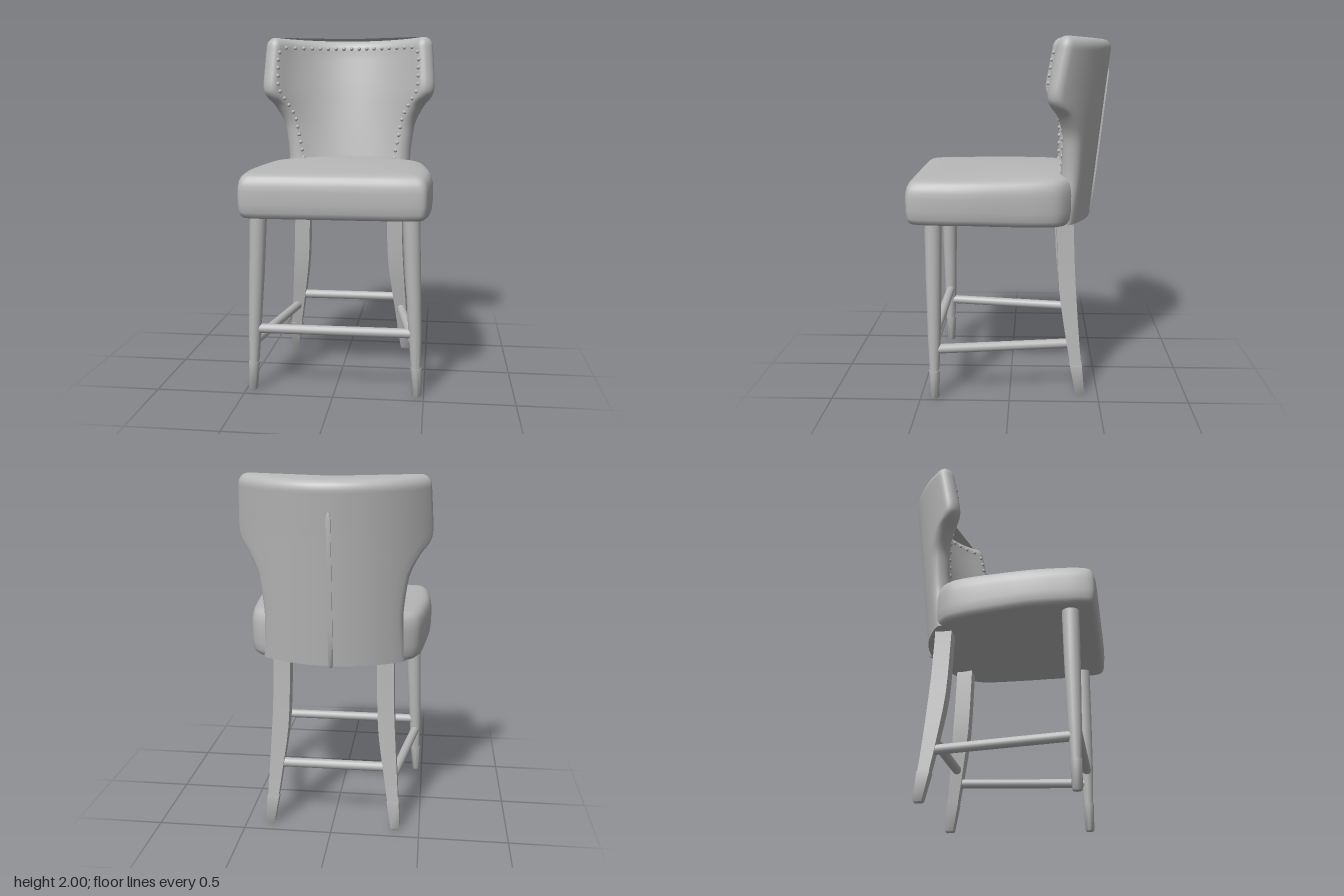
import * as THREE from 'three';
import { toCreasedNormals } from 'three/addons/utils/BufferGeometryUtils.js';

const grey = new THREE.MeshStandardMaterial({ color: 0xb8b8b8 });
grey.name = 'plainGrey';
const V = (x, y, z) => new THREE.Vector3(x, y, z);
const clamp = THREE.MathUtils.clamp;

function mesh(geometry, name) {
  const m = new THREE.Mesh(geometry, grey);
  m.name = name;
  return m;
}

// Skin closed rings stacked bottom to top, with both ends capped
function loft(rings, crease = 0.7) {
  const n = rings[0].length, pos = [], idx = [];
  rings.forEach(r => r.forEach(p => pos.push(p.x, p.y, p.z)));
  for (let i = 0; i < rings.length - 1; i++) {
    for (let j = 0; j < n; j++) {
      const a = i * n + j, b = i * n + (j + 1) % n;
      idx.push(a, b, b + n, a, b + n, a + n);
    }
  }
  [0, rings.length - 1].forEach((i, top) => {
    const c = V(0, 0, 0);
    rings[i].forEach(p => c.addScaledVector(p, 1 / n));
    const k = pos.length / 3;
    pos.push(c.x, c.y, c.z);
    for (let j = 0; j < n; j++) {
      const a = i * n + j, b = i * n + (j + 1) % n;
      if (top) idx.push(k, a, b); else idx.push(k, b, a);
    }
  });
  const g = new THREE.BufferGeometry();
  g.setAttribute('position', new THREE.Float32BufferAttribute(pos, 3));
  g.setIndex(idx);
  return toCreasedNormals(g, crease);
}

// Seat cushion: plan outline stacked with rounded edges and a crowned top
function seat() {
  const half = [[0, .565], [.25, .565], [.44, .562], [.495, .55], [.515, .5], [.53, .35], [.532, .2],
    [.515, 0], [.487, -.2], [.455, -.28], [.36, -.35], [.2, -.42], [0, -.45]];
  const all = half.concat(half.slice(1, -1).reverse().map(([x, z]) => [-x, z]));
  const plan = new THREE.CatmullRomCurve3(all.map(([x, z]) => V(x, 0, z)), true, 'centripetal')
    .getPoints(96).slice(0, -1);
  // [height, scale]
  const levels = [[1, .5], [1, .93], [1.004, .955], [1.015, .978], [1.035, .992], [1.08, 1], [1.15, 1],
    [1.18, .995], [1.205, .982], [1.222, .963], [1.234, .935], [1.241, .89], [1.246, .8], [1.25, .65], [1.253, .45], [1.255, .2]];
  return loft(levels.map(([y, s]) => plan.map(p => {
    const x = p.x * s, z = .06 + (p.z - .06) * s;
    const sag = y < 1.1 ? -.02 * clamp((.2 - z) / .5, 0, 1) : 0;
    const rise = y > 1.2 ? .018 * clamp((.5 - z) / .6, 0, 1) * (1 - (x / .55) ** 2) : 0;
    return V(x, y + sag + rise, z);
  })), 1);
}

// Backrest: a curved, leaning shell described by arc distance u and depth v
const RM = .605, T = .055, C = .048;
const centreZ = y => .09 + .11 * (2 - y);
const arcHalf = hw => RM * Math.asin(hw / .632);
const bulge = (y, u, L) => .045 * clamp((1.9 - y) / .65, 0, 1) * Math.max(0, 1 - (u / L) ** 2);
const outline = new THREE.SplineCurve([[.4, .985], [.39, 1.12], [.385, 1.25], [.4, 1.4], [.42, 1.49], [.465, 1.58],
  [.51, 1.64], [.525, 1.7], [.52, 1.82], [.512, 1.95]].map(p => new THREE.Vector2(...p)));

function backRing(hw, y, inset) {
  const L = arcHalf(hw) - inset, t = T - inset, c = Math.max(.004, C - inset), pts = [];
  const arc = (su, sv, a0) => {
    for (let i = 0; i <= 5; i++) {
      const a = a0 + i / 5 * Math.PI / 2;
      pts.push([su * (L - c) + c * Math.cos(a), sv * (t - c) + c * Math.sin(a)]);
    }
  };
  const side = (s, v) => {
    for (let i = 1; i < 20; i++) pts.push([s * (L - c) * (i / 10 - 1), v]);
  };
  side(1, -t);
  arc(1, -1, -Math.PI / 2);
  arc(1, 1, 0);
  side(-1, t);
  arc(-1, 1, Math.PI / 2);
  arc(-1, -1, Math.PI);
  return pts.map(([u, v]) => {
    if (v < 0) v += bulge(y, u, L) * v / t;
    const a = u / RM, r = RM + v;
    const dip = (.015 * (1 - (u / L) ** 2) + .1 * Math.max(0, v)) * clamp((y - 1.7) / .3, 0, 1);
    return V(r * Math.sin(a), y - dip, centreZ(y) - r * Math.cos(a));
  });
}

function backrest() {
  const rings = [backRing(.4, .978, .035), backRing(.4, .981, .015)];
  outline.getPoints(54).forEach(p => rings.push(backRing(p.x, p.y, 0)));
  [[1.965, .003], [1.98, .01], [1.992, .022], [1.999, .036], [2.001, .05]]
    .forEach(([y, i]) => rings.push(backRing(.512, y, i)));
  return loft(rings, 1);
}

// Row of round nail heads following the front edge of the backrest
function nailTrim() {
  const group = new THREE.Group();
  group.name = 'nailTrim';
  const half = [[.285, 1.26], [.335, 1.52], [.39, 1.62], [.43, 1.69], [.432, 1.9], [.4, 1.94]];
  const pts = half.concat(half.slice().reverse().map(([x, y]) => [-x, y])).map(p => new THREE.Vector2(...p));
  const path = new THREE.CurvePath();
  for (let i = 1; i < pts.length; i++) path.add(new THREE.LineCurve(pts[i - 1], pts[i]));
  const widths = outline.getPoints(200);
  const head = new THREE.SphereGeometry(.012, 10, 8);
  path.getSpacedPoints(46).forEach(({ x, y }) => {
    const L = arcHalf(widths.find(w => w.y >= y)?.x ?? .512);
    let r = RM - T, a = 0;
    for (let k = 0; k < 8; k++) {
      a = Math.asin(Math.abs(x) / r);
      const e = clamp(a * RM - (L - C), 0, C);
      r = RM - T + C - Math.sqrt(C * C - e * e) - bulge(y, a * RM, L);
    }
    const dip = .015 * (1 - (a * RM / L) ** 2) * clamp((y - 1.7) / .3, 0, 1);
    const nail = mesh(head, 'nailHead');
    nail.position.set(x, y - dip * .3, centreZ(y) - r * Math.cos(a));
    group.add(nail);
  });
  return group;
}

// Leg section: rows of [y, x, z, half width]
function legPart(rows, sides, mirror) {
  const k = sides === 4 ? Math.SQRT2 : 1;
  return loft(rows.map(([y, x, z, h]) => Array.from({ length: sides }, (_, i) => {
    const a = (i + .5) / sides * Math.PI * 2;
    return V(x * mirror + h * k * Math.sin(a), y, z + h * k * Math.cos(a));
  })));
}

// Round rail between two points
function rail(a, b, name) {
  const m = mesh(new THREE.CylinderGeometry(.027, .027, a.distanceTo(b), 16), name);
  m.position.copy(a).lerp(b, .5);
  m.quaternion.setFromUnitVectors(V(0, 1, 0), b.clone().sub(a).normalize());
  return m;
}

export function createModel() {
  const model = new THREE.Group();
  model.name = 'counterStool';
  model.add(mesh(seat(), 'seat'), mesh(backrest(), 'backrest'), nailTrim());

  // Raised seam up the middle of the back
  const seam = [[.975, .004], [.985, .012], [1.2, .012], [1.5, .012], [1.8, .011], [1.825, .004]];
  model.add(mesh(loft(seam.map(([y, h]) => {
    const z = centreZ(y) - RM - T;
    return [V(-h, y, z + .02), V(h, y, z + .02), V(h, y, z - h), V(-h, y, z - h)];
  })), 'backSeam'));

  // Legs with slightly thicker foot sleeves
  const backLeg = new THREE.CatmullRomCurve3([[.29, 1.04, -.305], [.291, .9, -.31], [.302, .6, -.325],
    [.332, .3, -.358], [.347, .16, -.377]].map(p => V(...p)));
  const backRows = backLeg.getPoints(14).reverse()
    .map(p => [p.y, p.x, p.z, .031 + .016 * clamp((p.y - .16) / .4, 0, 1)]);
  for (const s of [1, -1]) {
    const side = s > 0 ? 'left' : 'right';
    model.add(
      mesh(legPart([[.15, .456, .421, .027], [.35, .449, .42, .036], [.7, .433, .419, .044], [1.03, .42, .418, .048]], 20, s), side + 'FrontLeg'),
      mesh(legPart([[0, .464, .422, .022], [.006, .464, .422, .026], [.16, .456, .421, .031]], 20, s), side + 'FrontFoot'),
      mesh(legPart(backRows, 4, s), side + 'BackLeg'),
      mesh(legPart([[0, .364, -.4, .022], [.006, .364, -.4, .026], [.16, .347, -.377, .034]], 4, s), side + 'BackFoot'),
      rail(V(s * .45, .283, .41), V(s * .335, .283, -.355), side + 'Rail'));
  }
  model.add(
    rail(V(-.445, .357, .42), V(.445, .357, .42), 'frontRail'),
    rail(V(-.325, .357, -.35), V(.325, .357, -.35), 'backRail'));
  return model;
}
